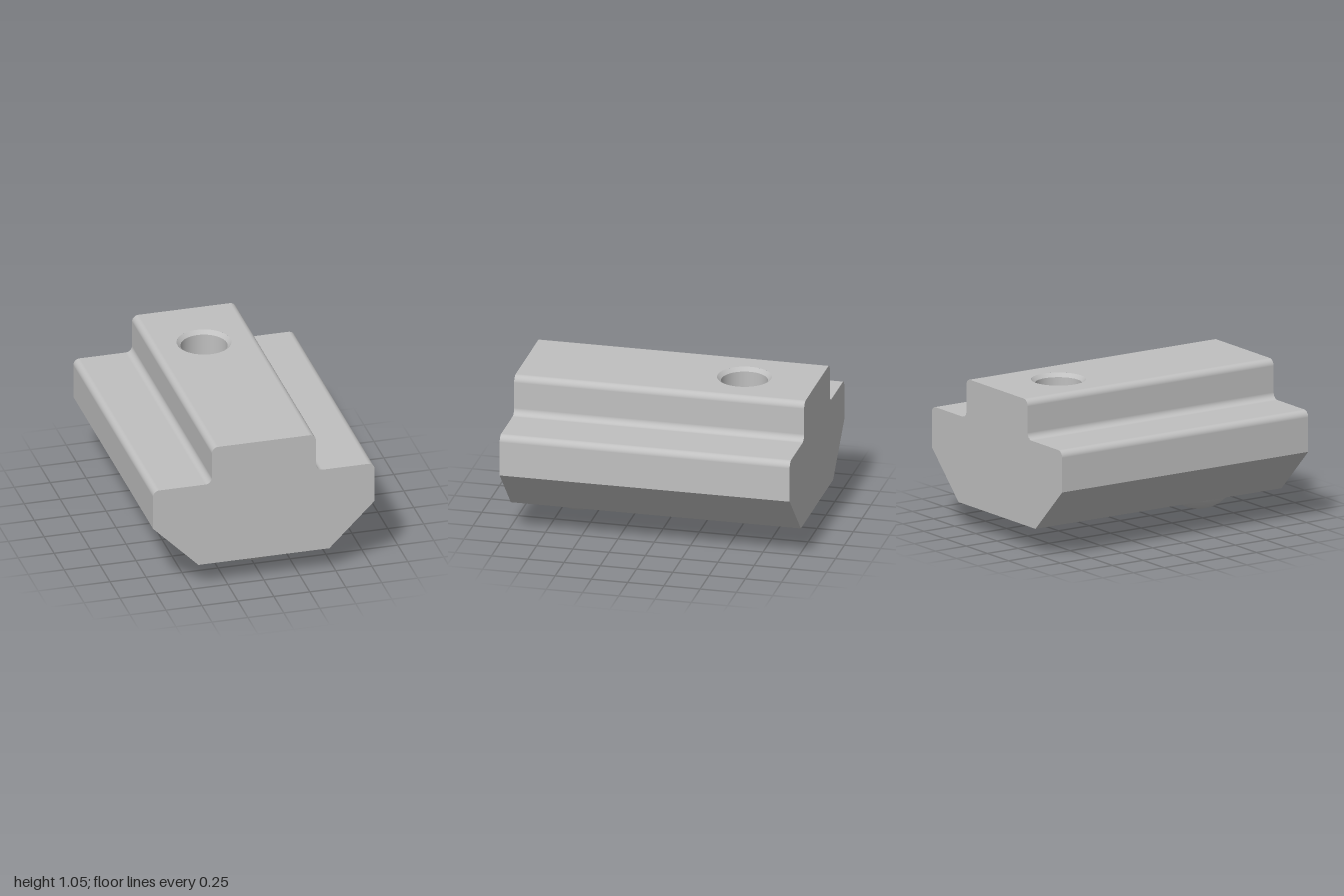
import * as THREE from 'three';

const BOTTOM = 0.176, TOP = 1.047, SHELF = 0.775, R = 0.045;
const HALF_STEM = 0.362, HALF_WIDTH = 0.77, HALF_BASE = 0.455, HALF_LENGTH = 1;
const BEVEL_TOP = 0.491;
const HOLE_Z = -0.5, HOLE_R = 0.158, RIM_R = 0.184, SEGMENTS = 48;
const PI = Math.PI;

// T-shaped cross-section, counter-clockwise from the bottom left
function bodyProfile() {
  const s = new THREE.Shape();
  s.moveTo(-HALF_BASE, BOTTOM);
  s.lineTo(HALF_BASE, BOTTOM);
  s.lineTo(HALF_WIDTH, BEVEL_TOP);
  s.absarc(HALF_WIDTH - R, SHELF - R, R, 0, PI / 2, false);
  s.absarc(HALF_STEM + R, SHELF + R, R, -PI / 2, -PI, true);
  s.absarc(HALF_STEM - R, TOP - R, R, 0, PI / 2, false);
  s.absarc(-HALF_STEM + R, TOP - R, R, PI / 2, PI, false);
  s.absarc(-HALF_STEM - R, SHELF + R, R, 0, -PI / 2, true);
  s.absarc(-HALF_WIDTH + R, SHELF - R, R, PI / 2, PI, false);
  s.lineTo(-HALF_WIDTH, BEVEL_TOP);
  s.closePath();
  return s;
}

// Sweeps one profile curve along z, with true normals
function sweptSide(curve) {
  const steps = curve.isLineCurve ? 1 : 10;
  const pos = [], norm = [], index = [];
  for (let i = 0; i <= steps; i++) {
    const p = curve.getPoint(i / steps), t = curve.getTangent(i / steps);
    for (const z of [HALF_LENGTH, -HALF_LENGTH]) {
      pos.push(p.x, p.y, z);
      norm.push(t.y, -t.x, 0);
    }
    if (i < steps) {
      const a = 2 * i;
      index.push(a, a + 1, a + 2, a + 1, a + 3, a + 2);
    }
  }
  const g = new THREE.BufferGeometry();
  g.setAttribute('position', new THREE.Float32BufferAttribute(pos, 3));
  g.setAttribute('normal', new THREE.Float32BufferAttribute(norm, 3));
  g.setIndex(index);
  return g;
}

// Flat rectangle pierced by the hole
function piercedPlate(halfWidth, holeY) {
  const s = new THREE.Shape();
  s.moveTo(-halfWidth, -HALF_LENGTH);
  s.lineTo(halfWidth, -HALF_LENGTH);
  s.lineTo(halfWidth, HALF_LENGTH);
  s.lineTo(-halfWidth, HALF_LENGTH);
  s.closePath();
  s.holes.push(new THREE.Path().absarc(0, holeY, RIM_R, 0, 2 * PI, true));
  return new THREE.ShapeGeometry(s, SEGMENTS);
}

export function createModel() {
  const model = new THREE.Group();
  model.name = 'slotNut';
  const steel = new THREE.MeshStandardMaterial({ color: 0xc0c0c0 });
  steel.name = 'steel grey';
  const add = (name, geometry, parent = model) => {
    const m = new THREE.Mesh(geometry, steel);
    m.name = name;
    parent.add(m);
    return m;
  };

  // Body sides, leaving out the top and bottom flats
  const body = new THREE.Group();
  body.name = 'body';
  model.add(body);
  const profile = bodyProfile();
  for (const c of profile.curves) {
    const a = c.getPoint(0), b = c.getPoint(1);
    const flatAt = (y) => Math.abs(a.y - y) < 1e-4 && Math.abs(b.y - y) < 1e-4;
    if (a.distanceTo(b) < 1e-5 || flatAt(TOP) || flatAt(BOTTOM)) continue;
    add('bodySide', sweptSide(c), body);
  }

  // End faces
  const end = new THREE.ShapeGeometry(profile, 10);
  add('frontEnd', end, body).position.z = HALF_LENGTH;
  const back = add('backEnd', end, body);
  back.position.z = -HALF_LENGTH;
  back.rotation.y = PI;

  // Top and bottom flats
  add('topFace', piercedPlate(HALF_STEM - R, -HOLE_Z).rotateX(-PI / 2), body).position.y = TOP;
  add('bottomFace', piercedPlate(HALF_BASE, HOLE_Z).rotateX(PI / 2), body).position.y = BOTTOM;

  // Through hole: chamfer, bore, chamfer, wound to face inward
  const hole = new THREE.Group();
  hole.name = 'threadedHole';
  hole.position.z = HOLE_Z;
  model.add(hole);
  const depth = RIM_R - HOLE_R;
  const rings = [[RIM_R, TOP], [HOLE_R, TOP - depth], [HOLE_R, BOTTOM + depth], [RIM_R, BOTTOM]]
    .map(([r, y]) => new THREE.Vector2(r, y));
  ['topChamfer', 'bore', 'bottomChamfer'].forEach((name, i) =>
    add(name, new THREE.LatheGeometry([rings[i], rings[i + 1]], SEGMENTS), hole));

  // Spring ball showing below the base
  const ballR = 0.262;
  const rimAngle = Math.acos((BOTTOM - ballR) / ballR);
  const ball = add('springBall',
    new THREE.SphereGeometry(ballR, 32, 6, 0, 2 * PI, rimAngle, PI - rimAngle));
  ball.position.set(0, ballR, 0.637);

  return model;
}
